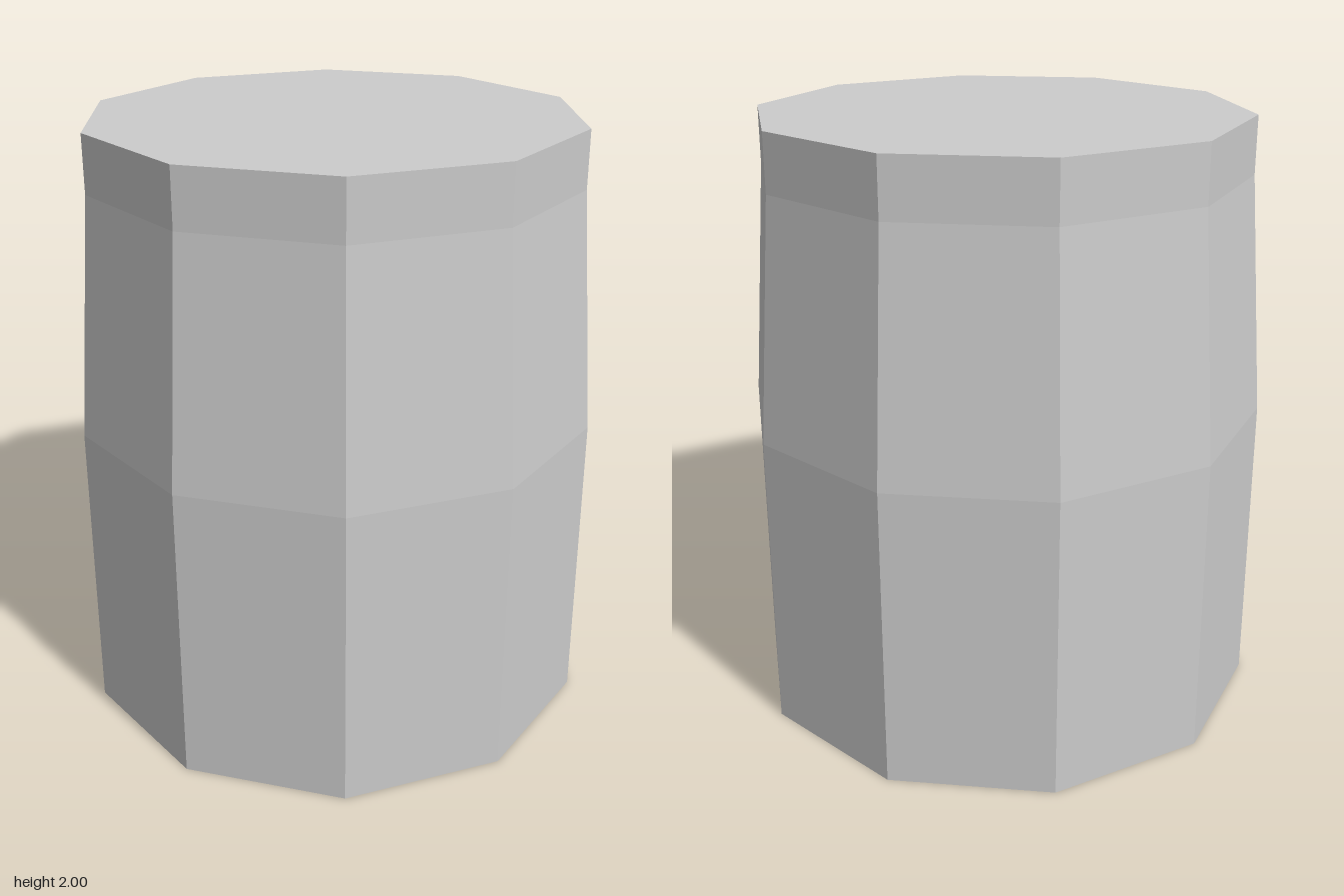
import * as THREE from 'three';

const SIDES = 10;

export function createModel() {
  const group = new THREE.Group();
  const material = new THREE.MeshStandardMaterial({
    color: 0xcccccc, flatShading: true, side: THREE.DoubleSide,
  });

  // Thin ten-sided shell from a [radius, height] profile, one corner on +z
  const addShell = (name, profile) => {
    const points = profile.map(([r, y]) => new THREE.Vector2(r, y));
    const mesh = new THREE.Mesh(new THREE.LatheGeometry(points, SIDES), material);
    mesh.name = name;
    group.add(mesh);
  };

  // Outer wall: straight, tapered shoulder, short straight rim
  addShell('outerWall', [[0.873, 0], [0.873, 1.01], [0.812, 1.81], [0.812, 2]]);

  // Inner sleeve, open at the bottom and closed by the lid
  addShell('innerSleeve', [[0.685, 0], [0.685, 2]]);

  // Flat lid
  const lid = new THREE.Mesh(new THREE.CircleGeometry(0.812, SIDES, Math.PI / 2), material);
  lid.rotation.x = -Math.PI / 2;
  lid.position.y = 2;
  lid.name = 'lid';
  group.add(lid);

  return group;
}
